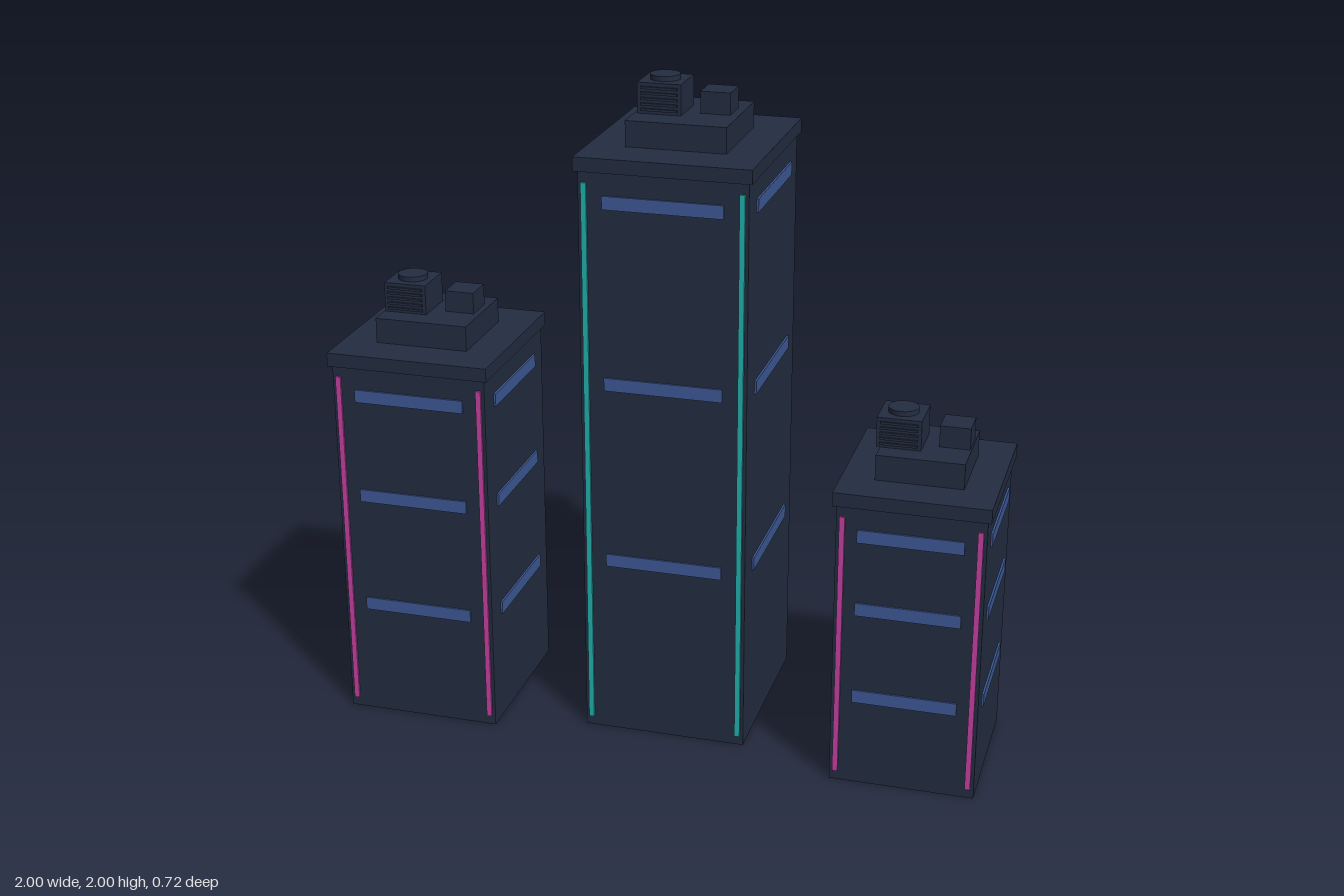
import * as THREE from 'three';

const mat = (name, color) => {
  const m = new THREE.MeshStandardMaterial({ color });
  m.name = name;
  return m;
};

export function createModel() {
  const wall = mat('dark slate wall', 0x232d41);
  const glass = mat('blue window', 0x3c5894);
  const teal = mat('teal neon', 0x22b0ac);
  const pink = mat('pink neon', 0xc43fa0);

  // Box given by its centre in x and z and by its bottom and top
  function box(parent, name, material, w, d, bottom, top, x = 0, z = 0) {
    const mesh = new THREE.Mesh(new THREE.BoxGeometry(w, top - bottom, d), material);
    mesh.position.set(x, (bottom + top) / 2, z);
    mesh.name = name;
    parent.add(mesh);
    return mesh;
  }

  function rooftop(parent, y, plinthW, plinthD) {
    const roof = new THREE.Group();
    roof.name = 'rooftop';
    roof.position.y = y;
    parent.add(roof);
    box(roof, 'plinth', wall, plinthW, plinthD, 0, 0.077);

    // Air conditioner with front louvres and a round fan on top
    box(roof, 'airConditioner', wall, 0.131, 0.137, 0.077, 0.168, -0.075, 0);
    for (let i = 0; i < 5; i++) {
      const b = 0.086 + i * 0.016;
      box(roof, 'louvre', wall, 0.11, 0.008, b, b + 0.007, -0.075, 0.071);
    }
    const fan = new THREE.Mesh(new THREE.CylinderGeometry(0.045, 0.045, 0.016, 24), wall);
    fan.name = 'fan';
    fan.position.set(-0.075, 0.175, 0);
    roof.add(fan);

    box(roof, 'ventBox', wall, 0.09, 0.093, 0.077, 0.142, 0.08, -0.025);
  }

  function tower({ name, x, z, w, d, h, bands, neon, plinth }) {
    const g = new THREE.Group();
    g.name = name;
    g.position.set(x, 0, z);
    box(g, 'body', wall, w, d, 0, h);
    box(g, 'roofSlab', wall, w + 0.022, d + 0.022, h, h + 0.042);

    // Window bands on all four sides
    for (const y of bands) {
      for (const s of [-1, 1]) {
        box(g, 'windowBand', glass, w * 0.713, 0.008, y - 0.02, y + 0.02, 0, s * (d / 2 + 0.002));
        box(g, 'windowBand', glass, 0.008, d * 0.7, y - 0.02, y + 0.02, s * (w / 2 + 0.002), 0);
      }
    }
    // Neon strips near the corners of the front and back
    for (const sx of [-1, 1]) {
      for (const sz of [-1, 1]) {
        box(g, 'neonStrip', neon, 0.016, 0.009, 0.03, h - 0.033,
          sx * (w / 2 - 0.018), sz * (d / 2 + 0.002));
      }
    }
    rooftop(g, h + 0.042, ...plinth);
    return g;
  }

  const model = new THREE.Group();
  model.name = 'towerBlocks';
  model.add(
    tower({ name: 'middleTower', x: 0.012, z: -0.06, w: 0.501, d: 0.585, h: 1.778,
      bands: [1.69, 1.14, 0.573], neon: teal, plinth: [0.3, 0.32] }),
    tower({ name: 'rightTower', x: -0.749, z: 0.066, w: 0.48, d: 0.507, h: 1.145,
      bands: [1.056, 0.732, 0.368], neon: pink, plinth: [0.287, 0.277] }),
    tower({ name: 'leftTower', x: 0.772, z: 0.105, w: 0.432, d: 0.483, h: 0.89,
      bands: [0.802, 0.571, 0.288], neon: pink, plinth: [0.258, 0.264] })
  );
  return model;
}
